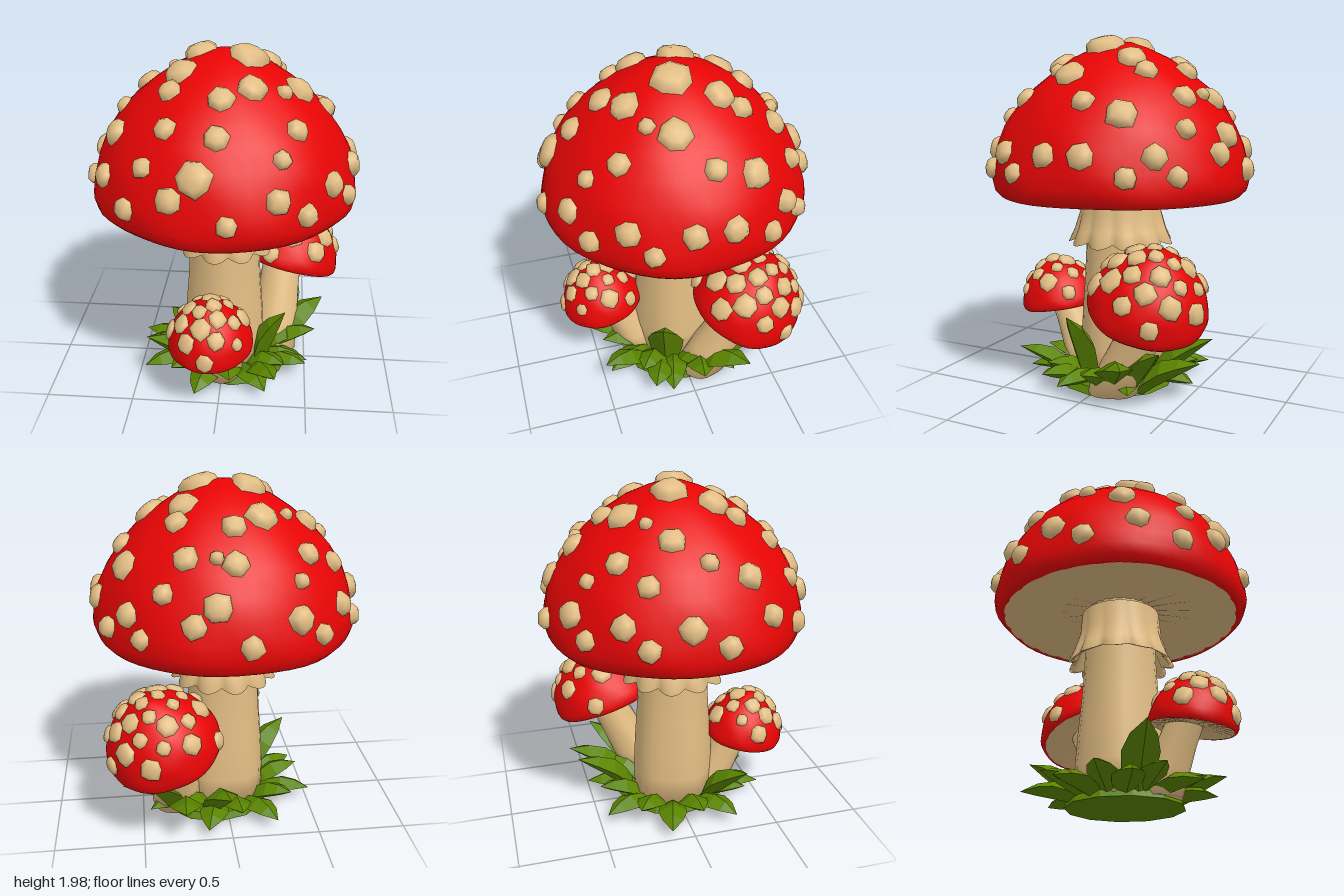
import * as THREE from 'three';
import { mergeVertices } from 'three/addons/utils/BufferGeometryUtils.js';

// Cap profile (radius, height above the rim), from rim to crown
const PROFILE = [
  [0.655, 0.01], [0.69, 0], [0.72, 0.03], [0.735, 0.09], [0.725, 0.17], [0.695, 0.29], [0.65, 0.39],
  [0.58, 0.5], [0.49, 0.6], [0.38, 0.69], [0.27, 0.765], [0.15, 0.82], [0.06, 0.85], [0, 0.855],
];

// Warts on the upper part of the large cap: x, z, radius
const UPPER_WARTS = [
  [-0.33, -0.53, 0.045], [-0.39, -0.39, 0.062], [0.1, -0.66, 0.085], [0, -0.55, 0.065], [0.24, -0.48, 0.075],
  [0.36, -0.54, 0.06], [-0.01, -0.39, 0.072], [-0.16, -0.31, 0.085], [-0.55, -0.27, 0.065], [-0.43, -0.12, 0.078],
  [0.27, -0.28, 0.07], [0.23, -0.18, 0.08], [0.54, -0.27, 0.09], [0.55, -0.06, 0.065], [-0.13, -0.05, 0.105],
  [0.13, 0.04, 0.105], [-0.54, 0.04, 0.055], [0.4, 0.1, 0.085], [-0.22, 0.16, 0.085], [-0.26, 0.27, 0.068],
  [-0.55, 0.25, 0.08], [0.32, 0.22, 0.045], [0.16, 0.29, 0.082], [0.01, 0.38, 0.07], [0.39, 0.38, 0.066],
  [-0.26, 0.46, 0.06], [-0.37, 0.54, 0.06], [0, 0.54, 0.067], [0.32, 0.53, 0.05], [-0.1, 0.65, 0.09],
  [-0.3, -0.22, 0.035], [0.09, -0.52, 0.04],
];

// Directions, in degrees from +x towards +z, of the warts along its steep side
const SIDE_WARTS = [7, 23, 34, 51, 64, 85, 109, 130, 149, 172, 187, 204, 215, 232, 243, 265, 288, 311, 320, 332, 350];

// Large leaves: base x, base z, tip x, tip y, tip z, half width
const LARGE_LEAVES = [
  [-0.16, 0.16, -0.43, 0.32, 0.33, 0.1], [0.22, 0.1, 0.37, 0.42, 0.16, 0.11], [0.3, -0.08, 0.61, 0.26, -0.3, 0.11],
  [0.3, -0.08, 0.56, 0.18, -0.04, 0.09], [0.08, -0.24, 0.02, 0.3, -0.58, 0.1], [0.31, -0.2, 0.45, 0.32, -0.44, 0.1],
  [0.25, -0.24, 0.27, 0.24, -0.6, 0.1], [0.24, 0.12, 0.5, 0.12, 0.24, 0.085], [0.18, 0.22, 0.32, 0.19, 0.5, 0.085],
];

// Small repeatable number sequence
let seed = 7;
const rand = () => (seed = (seed * 16807) % 2147483647) / 2147483647;

// Move every vertex by a rule
function warp(geo, rule) {
  const p = geo.attributes.position, v = new THREE.Vector3();
  for (let i = 0; i < p.count; i++) {
    rule(v.fromBufferAttribute(p, i));
    p.setXYZ(i, v.x, v.y, v.z);
  }
  return geo;
}

function smooth(geo) {
  geo.deleteAttribute('uv');
  geo.deleteAttribute('normal');
  const g = mergeVertices(geo, 1e-4);
  g.computeVertexNormals();
  return g;
}

function faceted(geo) {
  const g = geo.toNonIndexed();
  g.computeVertexNormals();
  return g;
}

const lathe = (pts, sides) => new THREE.LatheGeometry(pts.map(([r, y]) => new THREE.Vector2(r, y)), sides);

function add(parent, name, geo, mat) {
  const m = new THREE.Mesh(geo, mat);
  m.name = name;
  parent.add(m);
  return m;
}

// Radius, height and outward slope of the cap, found by column (0 radius, 1 height)
function onProfile(column, value) {
  const i = PROFILE.findIndex((p, k) => k > 3 && (column ? p[1] >= value : p[0] <= value));
  const a = PROFILE[i - 1], b = PROFILE[i];
  const t = Math.max((value - a[column]) / (b[column] - a[column]), 0);
  return { r: a[0] + (b[0] - a[0]) * t, y: a[1] + (b[1] - a[1]) * t, nr: b[1] - a[1], ny: a[0] - b[0] };
}

function wartGeometry() {
  const a = rand() * 6, k = 0.1 + rand() * 0.08;
  return smooth(warp(lathe([[1.05, -0.4], [0.95, 0.2], [0.62, 0.48], [0, 0.56]], 7), (v) => {
    const f = 1 + k * Math.sin(2 * Math.atan2(v.z, v.x) + a);
    v.x *= f;
    v.z /= f;
  }));
}

// Wart on the cap surface: angle, point on the profile, radius
const onTop = (x, z, size) => ({ a: Math.atan2(z, x), p: onProfile(0, Math.hypot(x, z)), size });
const onSide = (a, y, size) => ({ a, p: onProfile(1, y), size });

// Evenly scattered warts for the small caps
function scatter(count, size) {
  return Array.from({ length: count }, (_, i) => {
    const r = 0.72 * Math.sqrt((i + 0.4) / count), a = i * 2.4, s = size * (0.75 + 0.5 * rand());
    return r > 0.68 ? onSide(a, 0.12 + 0.16 * rand(), s) : onTop(r * Math.cos(a), r * Math.sin(a), s);
  });
}

// Red cap, finely pleated gills and warts, standing on its rim
function makeCap(name, warts, mats) {
  const cap = new THREE.Group();
  cap.name = name;
  const dome = warp(lathe(PROFILE, 48), (v) => {
    const a = Math.atan2(v.z, v.x);
    const f = 1 + 0.008 * Math.sin(5 * a + 9 * v.y) + 0.006 * Math.sin(8 * a - 14 * v.y);
    v.x *= f;
    v.z *= f;
  });
  add(cap, 'capDome', smooth(dome), mats.red);
  const gills = warp(lathe([[0.1, 0.06], [0.3, 0.045], [0.5, 0.02], [0.66, -0.004], [0.69, 0.01]], 96), (v) => {
    const pleat = Math.round(Math.atan2(v.x, v.z) / (Math.PI / 48));
    if (pleat % 4 === 0) v.y += 0.007;
  });
  add(cap, 'gills', smooth(gills), mats.tan);
  for (const { a, p, size } of warts) {
    const w = add(cap, 'wart', wartGeometry(), mats.tan);
    w.position.set(p.r * Math.cos(a), p.y, p.r * Math.sin(a));
    const n = new THREE.Vector3(p.nr * Math.cos(a), p.ny, p.nr * Math.sin(a)).normalize();
    w.quaternion.setFromUnitVectors(new THREE.Vector3(0, 1, 0), n);
    w.scale.set(size, 0.055 + 0.35 * size, size);
  }
  return cap;
}

// Stem that leans from base to top, closed below, with softly lobed sides
function makeStem(base, top, radii) {
  const n = radii.length - 1, h = top[1] - base[1];
  return smooth(warp(lathe([[0, 0], ...radii.map((r, i) => [r, i / n])], 24), (v) => {
    const t = v.y, f = 1 + 0.04 * (1 - t) * Math.sin(5 * Math.atan2(v.z, v.x));
    v.set(v.x * f + base[0] + (top[0] - base[0]) * t, base[1] + h * t, v.z * f + base[2] + (top[2] - base[2]) * t);
  }));
}

// Thick pointed leaf from base to tip
function makeLeaf([bx, bz, tx, ty, tz, w]) {
  const base = new THREE.Vector3(bx, 0.03, bz), dir = new THREE.Vector3(tx, ty, tz).sub(base);
  const length = dir.length(), widths = [0.6, 0.9, 1, 0.7, 0.01];
  dir.normalize();
  const side = new THREE.Vector3().crossVectors(dir, new THREE.Vector3(0, 1, 0)).normalize();
  const up = new THREE.Vector3().crossVectors(side, dir);
  const geo = warp(new THREE.CylinderGeometry(1, 1, 1, 4, 4), (v) => {
    const t = v.y + 0.5, k = w * widths[Math.round(t * 4)];
    v.set(v.x * k, t * length, v.z * k * 0.55 + 0.1 * length * Math.sin(Math.PI * t));
  });
  geo.applyMatrix4(new THREE.Matrix4().makeBasis(side, dir, up).setPosition(base));
  return faceted(warp(geo, (v) => { v.y = Math.max(v.y, 0); }));
}

export function createModel() {
  const mat = (name, color) => Object.assign(new THREE.MeshStandardMaterial({ color }), { name });
  const mats = { red: mat('capRed', 0xe80404), tan: mat('stemTan', 0xe2bd83), green: mat('leafGreen', 0x5a8400) };
  const model = new THREE.Group();
  model.name = 'mushroomCluster';

  // Large mushroom, with side warts alternating high and low
  add(model, 'mainStem', makeStem([0, 0.02, 0], [0, 1.15, 0], [0.24, 0.24, 0.23, 0.215, 0.205, 0.2, 0.2]), mats.tan);
  const sideWarts = SIDE_WARTS.map((deg, i) => onSide(deg * Math.PI / 180, i % 2 ? 0.16 : 0.26, i % 2 ? 0.06 : 0.072));
  const mainCap = makeCap('mainCap', [...UPPER_WARTS.map((w) => onTop(...w)), ...sideWarts], mats);
  mainCap.position.y = 1.09;
  model.add(mainCap);

  // Scalloped skirt below the large cap
  const skirt = lathe([[0.19, 1.0], [0.25, 0.84], [0.275, 0.83], [0.25, 0.9], [0.23, 0.99], [0.225, 1.12]], 88);
  add(model, 'skirt', smooth(warp(skirt, (v) => {
    const flare = THREE.MathUtils.clamp((1.06 - v.y) / 0.23, 0, 1);
    const wave = Math.abs(Math.cos(5.5 * Math.atan2(v.z, v.x)));
    const f = 1 + flare * (0.13 * wave - 0.02);
    v.set(v.x * f, v.y - 0.025 * flare * wave, v.z * f);
  })), mats.tan);

  // Small leaning mushrooms
  const smallOnes = [
    { name: 'front', base: [0, 0.02, 0.2], top: [-0.04, 0.41, 0.39], radii: [0.14, 0.125, 0.11, 0.105],
      rim: [-0.045, 0.36, 0.43], axis: [-0.03, 0.98, 0.17], scale: [0.325, 0.355], warts: scatter(20, 0.145) },
    { name: 'back', base: [0.29, 0.02, -0.1], top: [0.35, 0.55, -0.36], radii: [0.15, 0.14, 0.125, 0.12],
      rim: [0.36, 0.5, -0.33], axis: [0.23, 0.92, -0.28], scale: [0.44, 0.455], warts: scatter(28, 0.12) },
  ];
  for (const s of smallOnes) {
    add(model, s.name + 'Stem', makeStem(s.base, s.top, s.radii), mats.tan);
    const cap = makeCap(s.name + 'Cap', s.warts, mats);
    cap.position.set(...s.rim);
    cap.quaternion.setFromUnitVectors(new THREE.Vector3(0, 1, 0), new THREE.Vector3(...s.axis).normalize());
    cap.scale.set(s.scale[0], s.scale[1], s.scale[0]);
    model.add(cap);
  }

  // Large leaves, a ring of small ones and the low bed they grow from
  const leaves = new THREE.Group();
  leaves.name = 'leaves';
  for (const leaf of LARGE_LEAVES) add(leaves, 'largeLeaf', makeLeaf(leaf), mats.green);
  for (let i = 0; i < 16; i++) {
    const a = (60 + 22.5 * i) * Math.PI / 180, c = Math.cos(a), s = Math.sin(a), r = i % 2 ? 0.47 : 0.53;
    add(leaves, 'smallLeaf', makeLeaf([0.2 * c, 0.2 * s, r * c, i % 2 ? 0.14 : 0.07, r * s, 0.085]), mats.green);
  }
  const bed = add(leaves, 'leafBed', faceted(lathe([[0, 0], [0.33, 0], [0.31, 0.04], [0, 0.06]], 12)), mats.green);
  bed.position.x = 0.06;
  model.add(leaves);
  return model;
}
